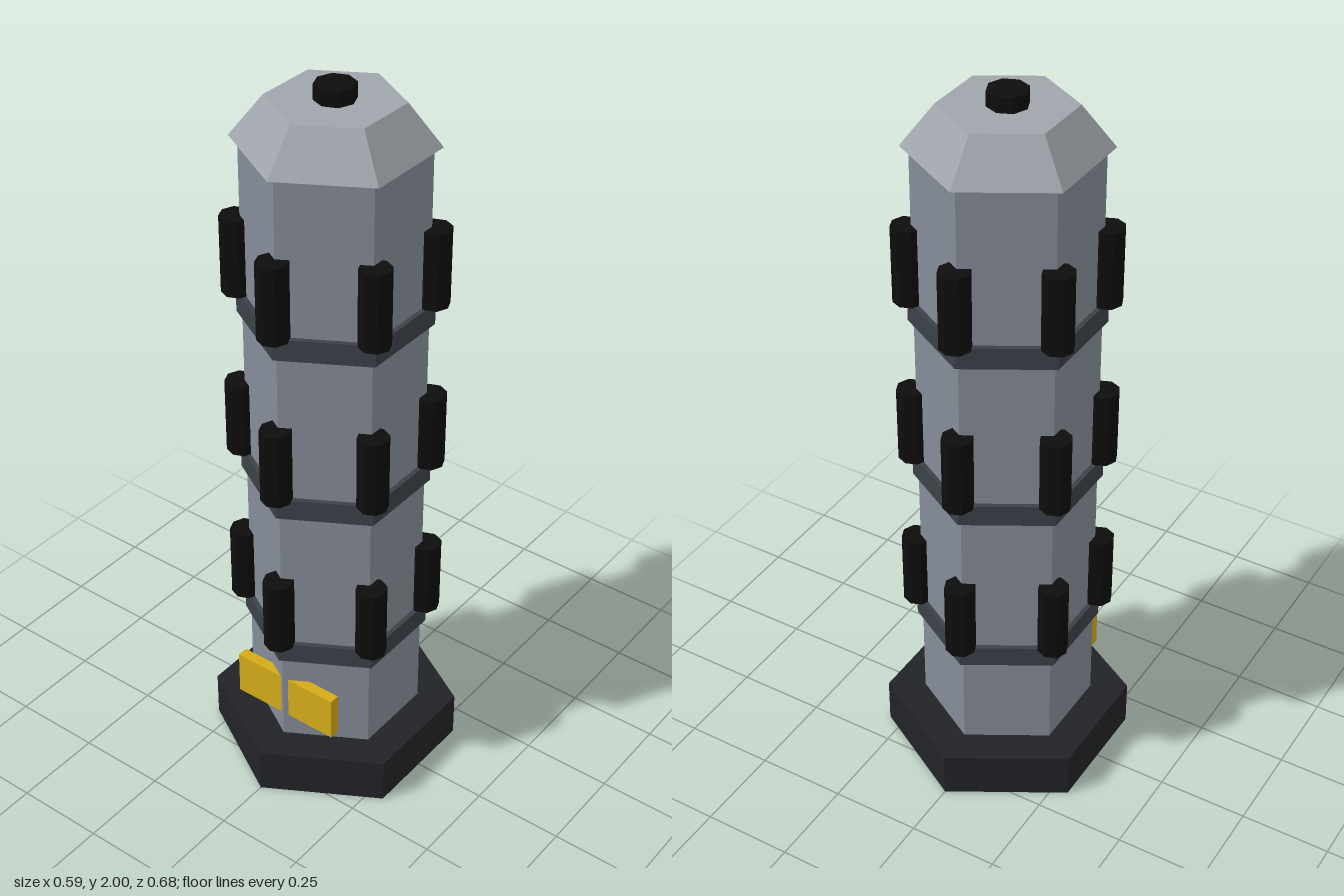
import * as THREE from 'three';

const material = (color) => new THREE.MeshStandardMaterial({ color, flatShading: true });

export function createModel() {
  const tower = new THREE.Group();
  tower.name = 'tower';

  const wall = material(0x858c97);
  const roofGrey = material(0xa0a5ac);
  const bandGrey = material(0x3c4149);
  const baseGrey = material(0x222327);
  const black = material(0x0d0d0d);
  const yellow = material(0xd4aa18);

  // Upright prism between two heights, with a corner facing the front
  function prism(name, rTop, rBottom, y0, y1, sides, mat, x = 0, z = 0) {
    const mesh = new THREE.Mesh(new THREE.CylinderGeometry(rTop, rBottom, y1 - y0, sides), mat);
    mesh.name = name;
    mesh.position.set(x, (y0 + y1) / 2, z);
    tower.add(mesh);
  }

  // Hexagonal base and shaft
  prism('base', 0.34, 0.34, 0, 0.13, 6, baseGrey);
  prism('shaft', 0.235, 0.235, 0.13, 1.842, 6, wall);

  // Three tiers: a band with a post standing at each corner
  for (const y of [0.403, 0.883, 1.363]) {
    prism('band', 0.25, 0.25, y, y + 0.06, 6, bandGrey);
    for (let i = 0; i < 6; i++) {
      const a = (i * Math.PI) / 3;
      prism('cornerPost', 0.042, 0.042, y + 0.06, y + 0.274, 8, black,
        0.245 * Math.sin(a), 0.245 * Math.cos(a));
    }
  }

  // Sloped roof and its cap
  prism('roof', 0.171, 0.257, 1.85, 1.96, 6, roofGrey);
  prism('roofCap', 0.053, 0.053, 1.96, 2, 8, black);

  // Front plate, split by the corner of the shaft
  const plate = new THREE.Mesh(new THREE.BoxGeometry(0.32, 0.128, 0.03), yellow);
  plate.name = 'frontPlate';
  plate.position.set(0, 0.26, 0.213);
  tower.add(plate);

  return tower;
}
